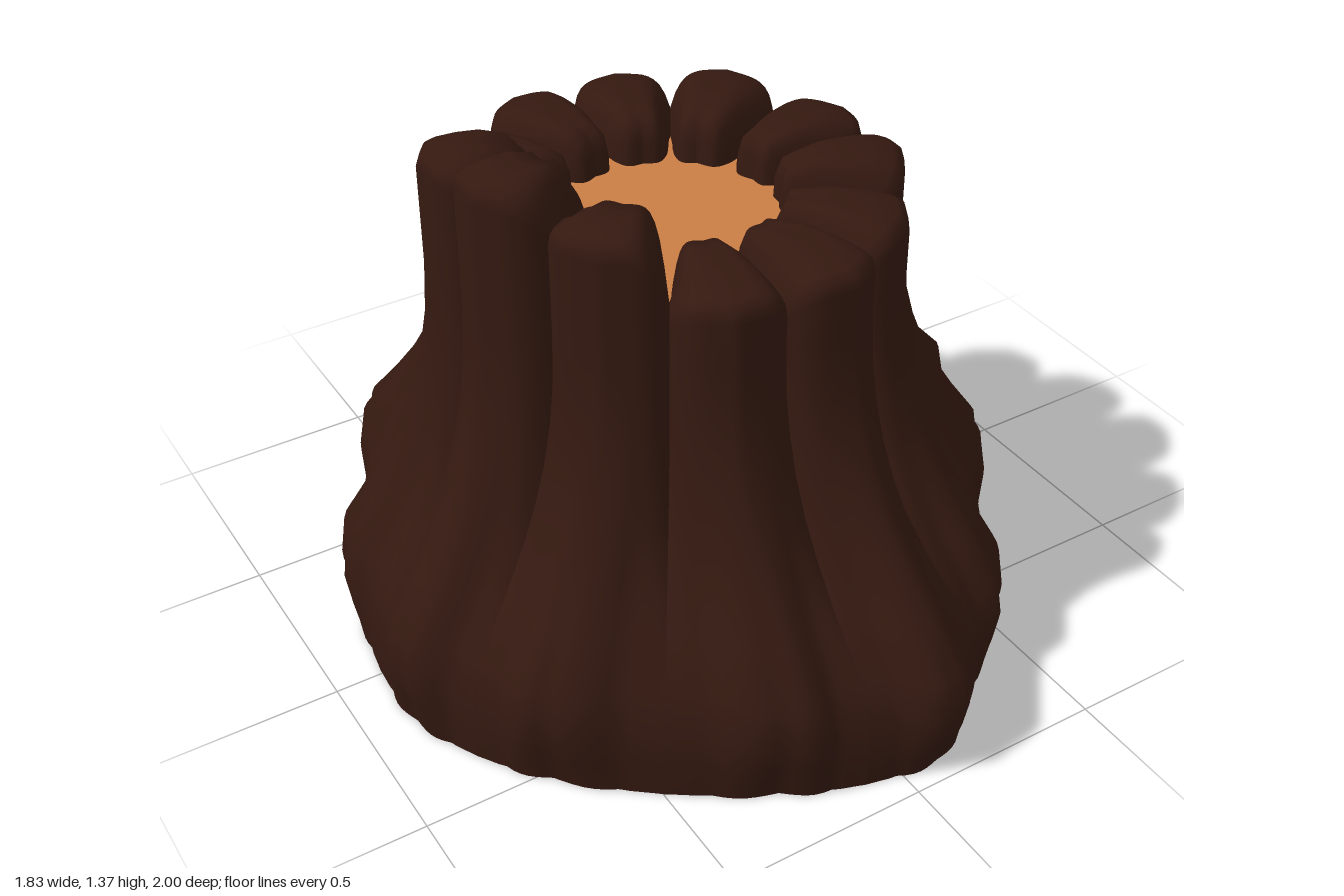
import * as THREE from 'three';

const { lerp, smoothstep } = THREE.MathUtils;

// Trunk axis at the cut, height of the cut face, and reach of the caps over it
const CX = -0.06, CZ = 0.02, CUT_Y = 1.05, INNER_R = 0.26;

// Bark ridges, clockwise from the back: top x, top z, foot x, foot z, top height
const RIDGES = [
  [-0.18, -0.54, -0.21, -0.995, 1.16], [0.11, -0.54, 0.14, -0.875, 1.15],
  [0.36, -0.39, 0.66, -0.48, 1.16], [0.505, -0.08, 0.905, -0.15, 1.15],
  [0.49, 0.18, 0.76, 0.23, 1.16], [0.31, 0.44, 0.43, 0.73, 1.15],
  [0.07, 0.59, 0.10, 0.99, 1.16], [-0.23, 0.57, -0.28, 0.87, 1.16],
  [-0.46, 0.39, -0.72, 0.54, 1.29], [-0.62, 0.13, -0.91, 0.2, 1.35],
  [-0.60, -0.18, -0.86, -0.22, 1.29], [-0.43, -0.41, -0.57, -0.72, 1.16],
];

// Outer wall rows: height, flare (0 = top, 1 = foot), groove depth (negative swells out)
const WALL = [
  [0, 0.88, -0.035], [0.05, 0.91, -0.025], [0.1, 0.95, -0.01], [0.18, 1, 0.015],
  [0.28, 0.95, 0.035], [0.39, 0.7, 0.07], [0.5, 0.47, 0.09], [0.58, 0.33, 0.1],
  [0.67, 0.2, 0.105], [0.77, 0.1, 0.105], [0.87, 0.03, 0.1], [1.0, 0, 0.095],
];

// Rows over the rounded ridge cap: way to the inner end, crest height, groove height
const CAP = [
  [0, h => h - 0.04, v => v - 0.03], [0.03, h => h - 0.01, v => v - 0.01],
  [0.1, h => h, v => v], [0.25, h => h + 0.01, v => v],
  [0.42, h => h + 0.015, v => lerp(v, 1.06, 0.3)],
  [0.62, h => lerp(h, 1.18, 0.1) + 0.015, () => 1.05],
  [0.8, h => lerp(h, 1.17, 0.5), () => 1.02], [0.92, () => 1.155, () => 1.01],
  [0.98, () => 1.11, () => 1.0], [1, () => 0.99, () => 0.99],
];

const ridge = k => RIDGES[(k + RIDGES.length) % RIDGES.length];

// Crest of a ridge, measured from the trunk axis, for a flare and way to the inner end
function crest(k, flare, inward) {
  const [tx, tz, fx, fz] = ridge(k);
  const p = new THREE.Vector2(lerp(tx, fx, flare) - CX, lerp(tz, fz, flare) - CZ);
  return p.setLength(lerp(p.length(), INNER_R, inward));
}

// One lobe of bark, from the groove on one side to the groove on the other
function ridgeGeometry(k) {
  const across = 20, pos = [], index = [];
  const rows = [
    ...WALL.map(([y, flare, depth]) => ({ flare, depth, f: 0, top: () => y, groove: () => y })),
    ...CAP.map(([f, top, groove]) => ({ flare: 0, depth: lerp(0.095, -0.3, f * f), f, top, groove })),
  ];
  for (const row of rows) {
    const here = crest(k, row.flare, row.f);
    for (let i = 0; i <= across; i++) {
      const u = i / across * 2 - 1, s = Math.abs(u), side = u < 0 ? -1 : 1;
      // Round lobes at the top turn into blunt ribs with flat webs at the foot
      const drop = lerp(s ** 5, smoothstep(s, 0.1, 0.75), row.flare);
      const blunt = 0.025 * row.flare * Math.sin(Math.PI * Math.min(1, s / 0.6));
      const p = here.clone().lerp(crest(k + side, row.flare, row.f), s / 2)
        .multiplyScalar(1 + blunt - row.depth * drop);
      const h = ridge(k)[4], low = Math.min(h, ridge(k + side)[4]);
      const y = lerp(row.top(h), row.groove(low - (low > 1.2 ? 0.03 : 0.07)), s ** 5);
      pos.push(CX + p.x, y, CZ + p.y);
    }
  }
  const w = across + 1;
  for (let j = 0; j < rows.length - 1; j++) {
    for (let i = 0; i < across; i++) {
      const a = j * w + i, b = a + w;
      index.push(a, b, b + 1, a, b + 1, a + 1);
    }
  }
  const geo = new THREE.BufferGeometry();
  geo.setAttribute('position', new THREE.Float32BufferAttribute(pos, 3));
  geo.setIndex(index);
  geo.computeVertexNormals();
  return geo;
}

export function createModel() {
  const group = new THREE.Group();
  group.name = 'treeStump';
  const bark = new THREE.MeshStandardMaterial({ color: 0x341910, side: THREE.DoubleSide });
  const wood = new THREE.MeshStandardMaterial({ color: 0xca7e44, side: THREE.DoubleSide });

  // Ring of bark ridges, open underneath
  const shell = new THREE.Group();
  shell.name = 'bark';
  RIDGES.forEach((_, k) => {
    const mesh = new THREE.Mesh(ridgeGeometry(k), bark);
    mesh.name = 'barkRidge' + (k + 1);
    shell.add(mesh);
  });
  group.add(shell);

  // Flat cut wood inside the ring
  const cut = new THREE.Mesh(new THREE.CircleGeometry(0.4, 36), wood);
  cut.name = 'cutFace';
  cut.rotation.x = -Math.PI / 2;
  cut.position.set(CX, CUT_Y, CZ);
  group.add(cut);
  return group;
}
